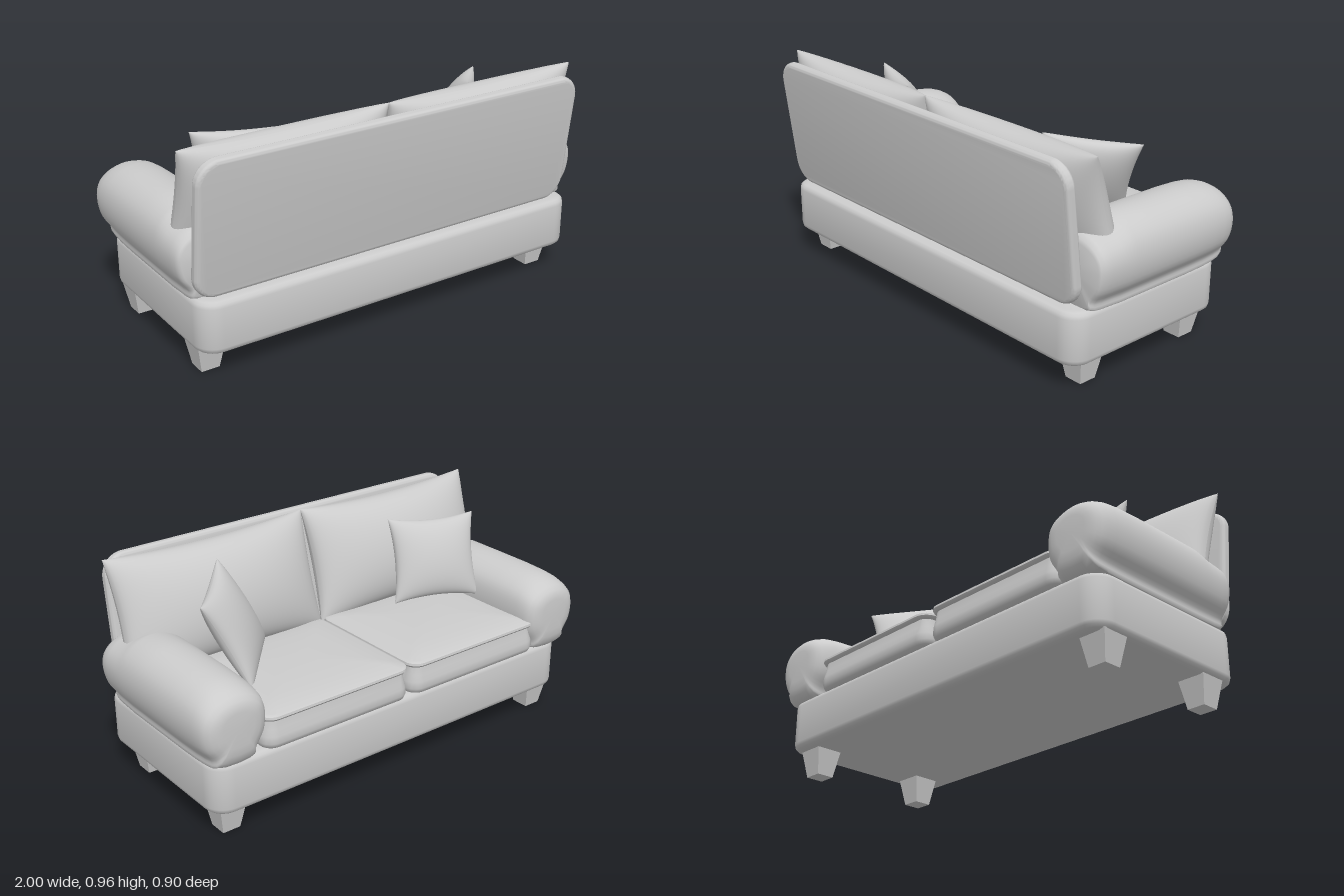
import * as THREE from 'three';
import { mergeGeometries, toCreasedNormals } from 'three/addons/utils/BufferGeometryUtils.js';

const V = (x, y, z) => new THREE.Vector3(x, y, z);
const material = new THREE.MeshStandardMaterial({ color: 0xcccccc });

function addMesh(parent, name, geometry) {
  const mesh = new THREE.Mesh(geometry, material);
  mesh.name = name;
  parent.add(mesh);
  return mesh;
}

// Skin over a list of rings, each counterclockwise seen from the last ring's end, with flat caps
function loft(rings) {
  const n = rings[0].length, last = rings.length - 1;
  const points = rings.flat(), index = [];
  for (let i = 0; i < last; i++) {
    for (let j = 0; j < n; j++) {
      const k = (j + 1) % n;
      const a = i * n + j, b = i * n + k, c = b + n, d = a + n;
      index.push(a, b, c, a, c, d);
    }
  }
  for (const [ring, flip] of [[0, true], [last, false]]) {
    const centre = points.length;
    const sum = rings[ring].reduce((s, p) => s.add(p), V(0, 0, 0));
    points.push(sum.divideScalar(n));
    for (let j = 0; j < n; j++) {
      const a = ring * n + j, b = ring * n + (j + 1) % n;
      index.push(centre, flip ? b : a, flip ? a : b);
    }
  }
  const geometry = new THREE.BufferGeometry().setFromPoints(points);
  geometry.setIndex(index);
  return toCreasedNormals(geometry, 0.8);
}

// Horizontal rounded rectangle, shrunk by an inset
function roundedRing(cx, cz, hx, hz, radius, y, inset) {
  const r = Math.max(radius - inset, 0.03), ring = [];
  for (let q = 0; q < 4; q++) {
    const sx = q === 0 || q === 3 ? 1 : -1, sz = q < 2 ? -1 : 1;
    for (let i = 0; i <= 8; i++) {
      const a = (q + i / 8) * Math.PI / 2;
      ring.push(V(cx + sx * (hx - inset - r) + r * Math.cos(a), y,
        cz + sz * (hz - inset - r) - r * Math.sin(a)));
    }
  }
  return ring;
}

// Stuffed pillow with pointed corners, set by its two top corners and its downward edge
function pillow(topA, topB, down, thickness, sag) {
  const right = topB.clone().sub(topA), up = down.clone().negate();
  const w = right.length() / 2, h = up.length() / 2;
  const sides = [1, -1].map((side) => {
    const geometry = new THREE.PlaneGeometry(2, 2, 32, 32);
    const p = geometry.attributes.position;
    for (let i = 0; i < p.count; i++) {
      const u = Math.sin(p.getX(i) * Math.PI / 2), v = Math.sin(p.getY(i) * Math.PI / 2);
      const fu = Math.max(0, 1 - u * u), fv = Math.max(0, 1 - v * v);
      p.setXYZ(i, side * u * (w - sag * fv), v * (h - sag * fu),
        side * thickness * Math.pow(fu * fv, 0.45));
    }
    geometry.computeVertexNormals();
    return geometry;
  });
  const x = right.clone().normalize();
  const z = x.clone().cross(up).normalize();
  const y = z.clone().cross(x);
  const centre = topA.clone().add(topB).add(down).multiplyScalar(0.5);
  return mergeGeometries(sides)
    .applyMatrix4(new THREE.Matrix4().makeBasis(x, y, z).setPosition(centre));
}

// Rolled arm: one cross-section swept along z, swelling out of a round front end
function arm(side) {
  const section = new THREE.CatmullRomCurve3([
    [0.94, 0.335], [0.945, 0.37], [0.985, 0.43], [1, 0.52], [0.98, 0.6], [0.925, 0.655],
    [0.85, 0.676], [0.77, 0.66], [0.71, 0.61], [0.69, 0.53], [0.70, 0.44], [0.74, 0.37], [0.75, 0.335],
  ].map(([x, y]) => V(x, y, 0)), true).getPoints(48).slice(0, 48);
  if (side < 0) section.reverse();
  // z, width scale, height scale above the middle
  const rows = [
    [-0.455, 0.45, 0.35], [-0.452, 0.62, 0.5], [-0.442, 0.77, 0.62], [-0.425, 0.88, 0.73],
    [-0.4, 0.94, 0.82], [-0.36, 0.97, 0.91], [-0.3, 0.99, 0.96], [-0.2, 1, 0.99], [0, 1, 1],
    [0.15, 1, 1], [0.18, 1, 0.95], [0.22, 0.99, 0.84], [0.28, 0.98, 0.79], [0.315, 0.96, 0.75],
    [0.335, 0.92, 0.66], [0.341, 0.86, 0.55],
  ];
  return loft(rows.map(([z, sx, sy]) => section.map((p) => V(
    side * (0.845 + (p.x - 0.845) * sx),
    0.52 + (p.y - 0.52) * (p.y > 0.52 ? sy : sx), z))));
}

export function createModel() {
  const sofa = new THREE.Group();
  sofa.name = 'sofa';

  // Upholstered base
  addMesh(sofa, 'base', loft([
    [0.118, 0.035], [0.123, 0.015], [0.133, 0.004], [0.148, 0],
    [0.32, 0], [0.335, 0.004], [0.344, 0.015], [0.348, 0.035],
  ].map(([y, inset]) => roundedRing(0, 0, 0.94, 0.42, 0.09, y, inset))));

  // Tapered square legs
  for (const x of [-0.86, 0.83]) {
    for (const z of [0.267, -0.307]) {
      const leg = new THREE.CylinderGeometry(0.062 * Math.SQRT2, 0.04 * Math.SQRT2, 0.125, 4, 1)
        .rotateY(Math.PI / 4).toNonIndexed();
      leg.computeVertexNormals();
      addMesh(sofa, 'leg', leg).position.set(x, 0.0625, z);
    }
  }

  // Leaning back panel
  const w = 0.91, h = 0.277, r = 0.08;
  const outline = new THREE.Shape();
  outline.absarc(w - r, h - r, r, 0, Math.PI / 2);
  outline.absarc(r - w, h - r, r, Math.PI / 2, Math.PI);
  outline.absarc(r - w, r - h, r, Math.PI, Math.PI * 1.5);
  outline.absarc(w - r, r - h, r, Math.PI * 1.5, Math.PI * 2);
  const panel = new THREE.ExtrudeGeometry(outline, {
    depth: 0.006, bevelThickness: 0.021, bevelSize: 0.02, bevelSegments: 6, curveSegments: 10,
  }).translate(0, 0, -0.003);
  const back = addMesh(sofa, 'backPanel', toCreasedNormals(panel, 0.8));
  back.position.set(-0.02, 0.645, 0.392);
  back.rotation.x = 0.12;

  // Arms
  for (const side of [1, -1]) addMesh(sofa, side > 0 ? 'leftArm' : 'rightArm', arm(side));

  // Seat cushions with a welted top edge and a crowned top
  const seatProfile = [
    [0.34, 0.03], [0.35, 0.008], [0.37, 0], [0.4, 0.002], [0.43, 0.01], [0.455, 0.014],
    [0.468, 0.016], [0.47, 0.004], [0.478, -0.002], [0.488, 0], [0.493, 0.008], [0.494, 0.016],
    [0.502, 0.05], [0.51, 0.12], [0.515, 0.22],
  ];
  for (const x of [-0.395, 0.345]) {
    addMesh(sofa, 'seatCushion', loft(seatProfile.map(([y, inset]) =>
      roundedRing(x, -0.115, 0.365, 0.322, 0.06, y, inset))));
  }

  // Back cushions
  for (const x of [-0.973, -0.027]) {
    addMesh(sofa, 'backCushion',
      pillow(V(x, 0.96, 0.335), V(x + 0.973, 0.96, 0.335).setX(x < -0.5 ? -0.025 : 0.95),
        V(0, -0.5, -0.15), 0.14, 0.022));
  }

  // Throw pillows
  addMesh(sofa, 'leftThrowPillow',
    pillow(V(0.51, 0.905, 0.185), V(0.775, 0.857, -0.105), V(-0.165, -0.37, -0.09), 0.07, 0.02));
  addMesh(sofa, 'rightThrowPillow',
    pillow(V(-0.765, 0.885, 0), V(-0.39, 0.885, 0.15), V(0.07, -0.36, -0.105), 0.07, 0.02));

  return sofa;
}
